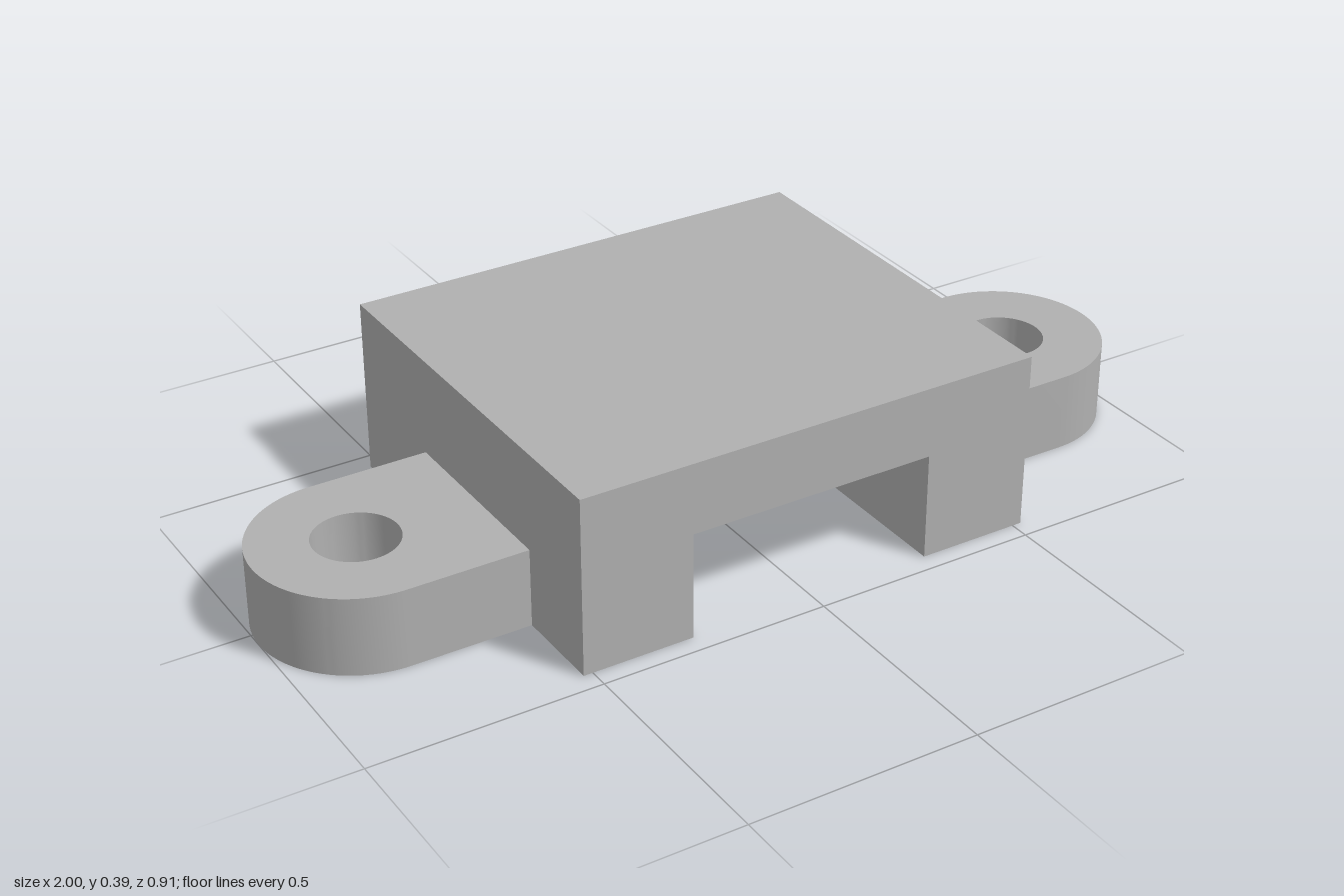
import * as THREE from 'three';
import { toCreasedNormals } from 'three/addons/utils/BufferGeometryUtils.js';

export function createModel() {
  const group = new THREE.Group();
  group.name = 'mountingBracket';
  const grey = new THREE.MeshStandardMaterial({ color: 0xb0b0b0 });
  grey.name = 'grey';

  const add = (name, geometry) => {
    const mesh = new THREE.Mesh(geometry, grey);
    mesh.name = name;
    group.add(mesh);
    return mesh;
  };

  const W = 0.52, H = 0.39, D = 0.457; // body half width, height, half depth
  const slotW = 0.275, slotH = 0.235, wall = 0.105;

  // Body: arch-shaped section, open at the front and underneath
  const arch = new THREE.Shape([
    [-W, 0], [-slotW, 0], [-slotW, slotH], [slotW, slotH],
    [slotW, 0], [W, 0], [W, H], [-W, H],
  ].map(([x, y]) => new THREE.Vector2(x, y)));
  const bodyGeo = new THREE.ExtrudeGeometry(arch, { depth: 2 * D - wall, bevelEnabled: false });
  add('body', bodyGeo.translate(0, 0, wall - D));

  // Wall closing the slot at the back
  add('backWall', new THREE.BoxGeometry(2 * W, H, wall).translate(0, H / 2, wall / 2 - D));

  // Round-ended mounting ears with a screw hole
  const earX = 0.782, earR = 0.218, earH = 0.173, earZ = 0.037;
  const ear = new THREE.Shape();
  ear.moveTo(W, -earR);
  ear.lineTo(earX, -earR);
  ear.absarc(earX, 0, earR, -Math.PI / 2, Math.PI / 2, false);
  ear.lineTo(W, earR);
  ear.closePath();
  const hole = new THREE.Path();
  hole.absarc(earX, 0, 0.09, 0, Math.PI * 2, true);
  ear.holes.push(hole);
  const earGeo = toCreasedNormals(
    new THREE.ExtrudeGeometry(ear, { depth: earH, bevelEnabled: false, curveSegments: 32 })
      .rotateX(-Math.PI / 2), 0.5);

  for (const [name, turn] of [['leftEar', 0], ['rightEar', Math.PI]]) {
    const mesh = add(name, earGeo);
    mesh.rotation.y = turn;
    mesh.position.z = earZ;
  }

  return group;
}
